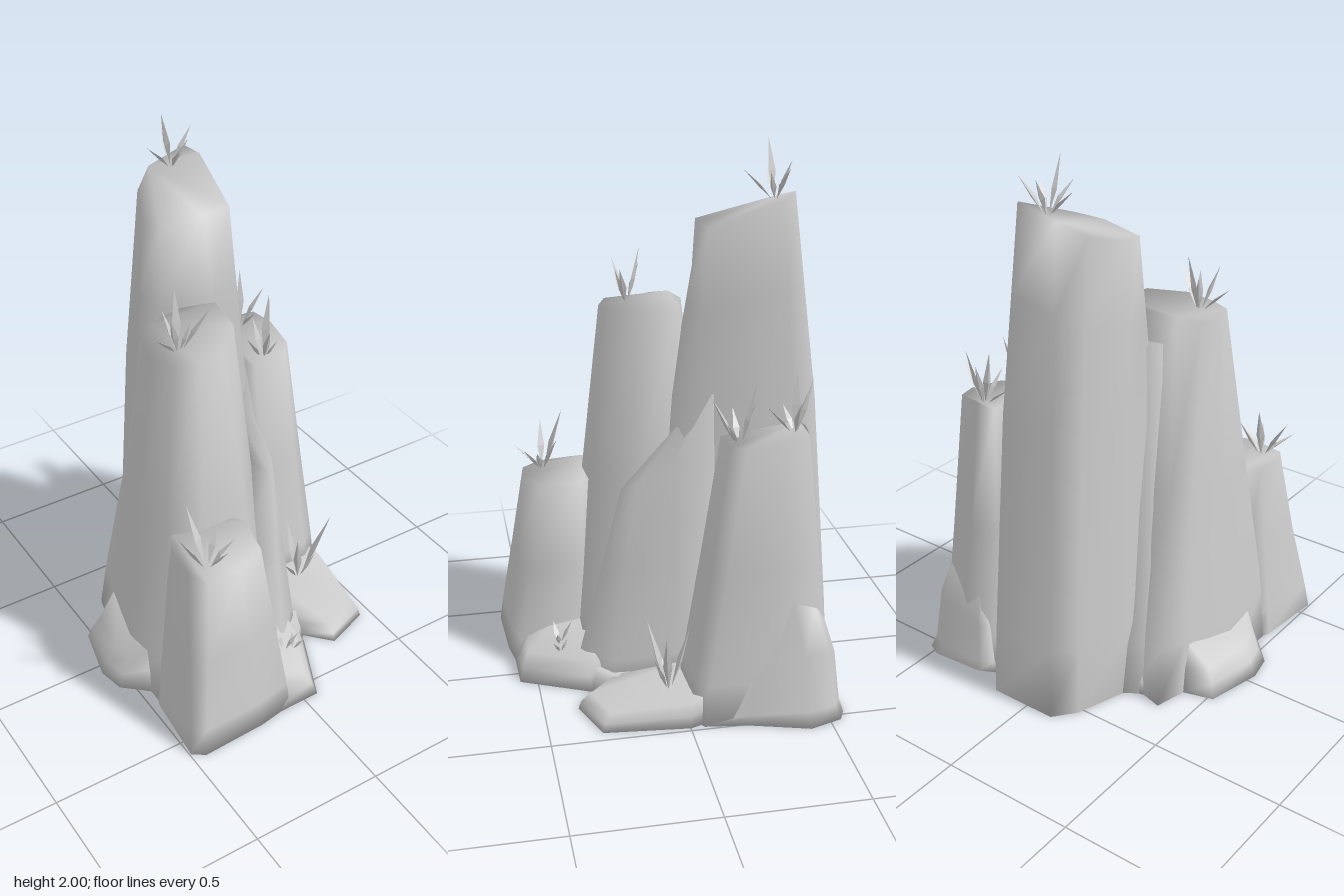
import * as THREE from 'three';

const stone = new THREE.MeshStandardMaterial({ color: 0xcccccc });
stone.name = 'pale grey stone';
const leaf = new THREE.MeshStandardMaterial({ color: 0xcccccc, side: THREE.DoubleSide, flatShading: true });
leaf.name = 'pale grey grass';

// Lofts a rock from a ground outline [x, z] to a top outline [x, y, z].
// mids: [height fraction, outline blend]. Vertices are shared for soft shading.
function rock(name, base, top, mids = [[0.15, 0.13], [0.55, 0.55]]) {
  const n = base.length, pos = [], index = [];
  const rings = [[0, 0], ...mids, [1, 1]];
  for (const [t, f] of rings) {
    base.forEach(([x, z], i) => {
      const [tx, ty, tz] = top[i];
      pos.push(x + (tx - x) * f, ty * t, z + (tz - z) * f);
    });
  }
  for (let r = 0; r < rings.length - 1; r++) {
    for (let i = 0; i < n; i++) {
      const j = (i + 1) % n, a = r * n + i, b = r * n + j;
      index.push(a, b, b + n, a, b + n, a + n);
    }
  }
  const last = (rings.length - 1) * n;
  for (let i = 1; i < n - 1; i++) {
    index.push(last, last + i, last + i + 1); // top
    index.push(0, i + 1, i);                  // underside
  }
  const g = new THREE.BufferGeometry();
  g.setAttribute('position', new THREE.Float32BufferAttribute(pos, 3));
  g.setIndex(index);
  g.computeVertexNormals();
  const mesh = new THREE.Mesh(g, stone);
  mesh.name = name;
  return mesh;
}

// Pointed three-sided blade, leaning out along +x
function bladeGeometry(height, reach, width) {
  const base = [reach * 0.12, -0.01, 0], tip = [reach, height, 0];
  const mx = reach * 0.45, my = height * 0.42;
  const mid = [[mx, my, -width], [mx + width * 0.8, my - width * 0.5, 0], [mx, my, width]];
  const pos = [];
  for (let i = 0; i < 3; i++) {
    const a = mid[i], b = mid[(i + 1) % 3];
    pos.push(...base, ...a, ...b, ...tip, ...b, ...a);
  }
  const g = new THREE.BufferGeometry();
  g.setAttribute('position', new THREE.Float32BufferAttribute(pos, 3));
  g.computeVertexNormals();
  return g;
}

// Tuft of blades given as [angle in degrees, height, reach]; 0 is +x, 90 is +z
function tuft(name, [x, y, z], blades) {
  const group = new THREE.Group();
  group.name = name;
  group.position.set(x, y, z);
  for (const [angle, height, reach] of blades) {
    const blade = new THREE.Mesh(bladeGeometry(height, reach, 0.008 + height * 0.035), leaf);
    blade.name = 'grassBlade';
    blade.rotation.y = -angle * Math.PI / 180;
    group.add(blade);
  }
  return group;
}

export function createModel() {
  const model = new THREE.Group();
  model.name = 'rockSpires';

  // Main pillars
  model.add(rock('tallPillar',
    [[-0.11, -0.6], [-0.175, -0.52], [-0.25, -0.29], [-0.25, -0.08], [0, 0.1], [0.18, -0.02], [0.2, -0.48], [0.15, -0.6]],
    [[-0.04, 1.79, -0.42], [-0.12, 1.74, -0.36], [-0.18, 1.7, -0.23], [-0.16, 1.69, -0.14],
      [0, 1.71, -0.12], [0.11, 1.715, -0.13], [0.145, 1.81, -0.38], [0.11, 1.83, -0.43]],
    [[0.15, 0.1], [0.6, 0.48], [0.83, 0.78]]));
  model.add(rock('middlePillar',
    [[-0.38, -0.32], [-0.41, -0.2], [-0.46, 0.05], [-0.46, 0.3], [-0.3, 0.35], [0, 0.33], [0.15, 0.12], [0.04, -0.2], [-0.24, -0.28]],
    [[-0.26, 1.4, -0.06], [-0.32, 1.38, 0], [-0.335, 1.36, 0.08], [-0.31, 1.37, 0.17], [-0.22, 1.37, 0.205],
      [-0.13, 1.38, 0.2], [-0.02, 1.4, 0.1], [0, 1.41, -0.05], [-0.12, 1.41, -0.08]]));
  model.add(rock('lowPillar',
    [[-0.45, 0.25], [-0.47, 0.3], [-0.495, 0.565], [-0.45, 0.597], [-0.2, 0.585], [-0.06, 0.56], [-0.05, 0.3], [-0.2, 0.15]],
    [[-0.36, 0.73, 0.22], [-0.4, 0.71, 0.3], [-0.405, 0.7, 0.42], [-0.37, 0.69, 0.49], [-0.25, 0.7, 0.5],
      [-0.13, 0.71, 0.45], [-0.1, 0.72, 0.3], [-0.2, 0.73, 0.2]]));
  model.add(rock('leftPillar',
    [[0.22, -0.5], [0.18, -0.3], [0.17, -0.04], [0.23, 0], [0.42, -0.01], [0.485, -0.05], [0.5, -0.3], [0.47, -0.52], [0.36, -0.54]],
    [[0.25, 1.05, -0.43], [0.22, 1.03, -0.36], [0.215, 1.01, -0.22], [0.24, 1.01, -0.15], [0.38, 1.02, -0.15],
      [0.42, 1.03, -0.2], [0.435, 1.05, -0.34], [0.41, 1.06, -0.42], [0.33, 1.06, -0.43]]));

  // Buttresses and rock filling the clefts between pillars
  model.add(rock('centreButtress',
    [[-0.1, -0.1], [-0.17, 0.3], [0.06, 0.36], [0.185, 0.24], [0.19, 0], [0.19, -0.16]],
    [[0.05, 1.08, -0.12], [0.06, 0.8, 0.1], [0.09, 0.77, 0.18], [0.13, 0.8, 0.13], [0.145, 0.88, 0], [0.17, 1.14, -0.14]]));
  model.add(rock('cleftFill',
    [[0.1, -0.46], [0.1, -0.02], [0.3, -0.02], [0.3, -0.46]],
    [[0.12, 0.9, -0.4], [0.12, 0.9, -0.16], [0.28, 0.8, -0.18], [0.28, 0.8, -0.4]]));
  model.add(rock('backCleftFill',
    [[-0.23, -0.34], [-0.33, -0.27], [-0.2, -0.1], [-0.1, -0.2]],
    [[-0.14, 1.3, -0.22], [-0.22, 1.3, -0.08], [-0.1, 1.3, 0], [-0.02, 1.3, -0.12]]));
  model.add(rock('leftButtress',
    [[0.22, -0.52], [0.3, -0.2], [0.42, -0.04], [0.485, -0.05], [0.505, -0.2], [0.57, -0.42], [0.53, -0.54], [0.48, -0.565], [0.28, -0.55]],
    [[0.3, 0.3, -0.48], [0.35, 0.25, -0.3], [0.42, 0.08, -0.12], [0.46, 0.1, -0.14], [0.465, 0.28, -0.27],
      [0.465, 0.45, -0.37], [0.455, 0.42, -0.45], [0.44, 0.4, -0.48], [0.3, 0.3, -0.5]],
    [[0.12, 0.2], [0.6, 0.45]]));

  // Low rocks around the foot
  model.add(rock('groundFill',
    [[-0.3, -0.3], [-0.42, 0.2], [-0.1, 0.45], [0.15, 0.33], [0.32, 0.15], [0.32, -0.4]],
    [[-0.28, 0.1, -0.28], [-0.4, 0.1, 0.2], [-0.1, 0.1, 0.43], [0.13, 0.08, 0.3], [0.3, 0.06, 0.12], [0.3, 0.1, -0.38]],
    [[0.5, 0.4]]));
  model.add(rock('frontShelf',
    [[-0.2, 0.3], [-0.2, 0.57], [0.06, 0.565], [0.18, 0.31], [0.15, 0.2]],
    [[-0.2, 0.24, 0.3], [-0.2, 0.15, 0.5], [0.02, 0.1, 0.53], [0.12, 0.1, 0.32], [0.1, 0.17, 0.22]],
    [[0.5, 0.4]]));
  model.add(rock('frontLeftSlab',
    [[0.18, -0.05], [0.175, 0.26], [0.28, 0.375], [0.455, 0.31], [0.485, 0], [0.45, -0.1]],
    [[0.19, 0.1, -0.05], [0.19, 0.07, 0.22], [0.28, 0.06, 0.33], [0.43, 0.06, 0.28], [0.47, 0.09, 0], [0.44, 0.12, -0.1]],
    [[0.5, 0.25]]));
  model.add(rock('rightFootRock',
    [[-0.41, -0.2], [-0.52, -0.17], [-0.57, 0.04], [-0.55, 0.14], [-0.44, 0.24], [-0.35, 0.1]],
    [[-0.39, 0.2, -0.16], [-0.48, 0.1, -0.14], [-0.51, 0.1, 0.04], [-0.49, 0.1, 0.12], [-0.42, 0.2, 0.19], [-0.36, 0.25, 0.1]],
    [[0.5, 0.4]]));

  // Grass tufts
  model.add(tuft('tallPillarGrass', [0.03, 1.8, -0.38],
    [[160, 0.2, 0.05], [-15, 0.11, 0.1], [175, 0.08, 0.1], [105, 0.09, 0.11], [-95, 0.12, 0.06], [30, 0.09, 0.06]]));
  model.add(tuft('middlePillarGrass', [-0.24, 1.38, 0.1],
    [[-70, 0.2, 0.05], [20, 0.14, 0.11], [165, 0.08, 0.11], [140, 0.15, 0.07], [60, 0.12, 0.05], [-120, 0.13, 0.06]]));
  model.add(tuft('lowPillarGrass', [-0.33, 0.71, 0.42],
    [[-110, 0.21, 0.09], [185, 0.15, 0.11], [15, 0.09, 0.1], [130, 0.06, 0.13], [60, 0.08, 0.08], [-35, 0.13, 0.09]]));
  model.add(tuft('leftPillarBackGrass', [0.33, 1.05, -0.39],
    [[200, 0.2, 0.05], [-60, 0.2, 0.06], [5, 0.13, 0.1], [170, 0.06, 0.1], [90, 0.09, 0.1], [-110, 0.16, 0.07]]));
  model.add(tuft('leftPillarFrontGrass', [0.31, 1.01, -0.2],
    [[-40, 0.23, 0.07], [110, 0.16, 0.1], [175, 0.1, 0.08], [-100, 0.14, 0.06], [60, 0.08, 0.06]]));
  model.add(tuft('slabGrass', [0.33, 0.09, 0.05],
    [[130, 0.24, 0.09], [15, 0.26, 0.13], [-95, 0.23, 0.08], [165, 0.1, 0.09], [60, 0.13, 0.07]]));
  model.add(tuft('shelfGrass', [0.01, 0.13, 0.41],
    [[-90, 0.08, 0.05], [170, 0.05, 0.07], [10, 0.06, 0.06]]));
  model.add(tuft('shelfSideGrass', [0.05, 0.12, 0.41],
    [[45, 0.04, 0.04], [-60, 0.05, 0.03]]));

  return model;
}
